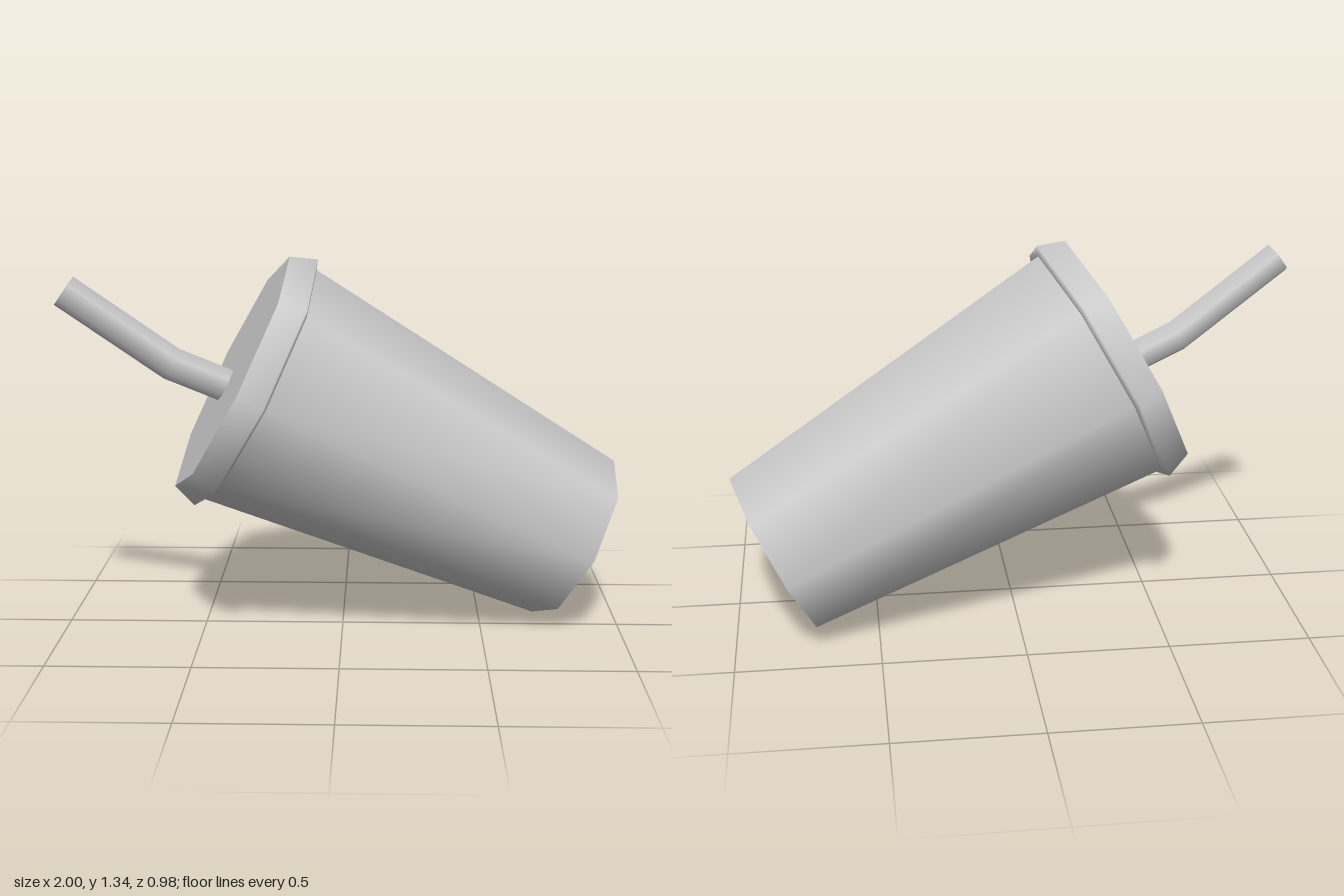
import * as THREE from 'three';

const SIDES = 8;
const LENGTH = 1.41; // base of the cup to top of the lid

export function createModel() {
  const model = new THREE.Group();
  model.name = 'tiltedDrinkCup';
  const material = new THREE.MeshStandardMaterial({ color: 0xcccccc });

  const add = (name, geometry) => {
    const mesh = new THREE.Mesh(geometry, material);
    mesh.name = name;
    model.add(mesh);
    return mesh;
  };
  const lathe = (...profile) =>
    new THREE.LatheGeometry(profile.map(([r, y]) => new THREE.Vector2(r, y)), SIDES);
  const disc = (radius, y, facing) =>
    new THREE.CircleGeometry(radius, SIDES).rotateX(-facing * Math.PI / 2).translate(0, y, 0);

  // Tapered cup with a flat base
  add('cupBody', lathe([0.322, 0], [0.46, 1.305]));
  add('cupBase', disc(0.322, 0, -1));

  // Lid: flared rim and flat top
  add('lidRim', lathe([0.459, 1.303], [0.495, 1.316], [0.46, LENGTH]));
  add('lidTop', disc(0.46, LENGTH, 1));

  // Bent six-sided straw: three rings, each placed and turned to follow the bend
  const rings = [
    { x: -0.05, y: -0.01, turn: 0 },
    { x: -0.065, y: 0.205, turn: -0.035 },
    { x: 0.002, y: 0.653, turn: -0.148 },
  ];
  const straw = new THREE.CylinderGeometry(0.06, 0.06, 2, 6, 2, false, Math.PI / 2);
  const { position, normal } = straw.attributes;
  const axis = new THREE.Vector3(0, 0, 1);
  const v = new THREE.Vector3();
  for (let i = 0; i < position.count; i++) {
    const ring = rings[Math.round(position.getY(i)) + 1];
    v.fromBufferAttribute(position, i).setY(0).applyAxisAngle(axis, ring.turn);
    position.setXYZ(i, v.x + ring.x, v.y + ring.y + LENGTH, v.z);
    v.fromBufferAttribute(normal, i).applyAxisAngle(axis, ring.turn);
    normal.setXYZ(i, v.x, v.y, v.z);
  }
  add('straw', straw);

  // Tip the whole cup over: local y runs along the cup's axis
  const up = new THREE.Vector3(-0.883, 0.454, 0.118).normalize();
  const side = new THREE.Vector3(0.45, 0.891, -0.047);
  side.addScaledVector(up, -side.dot(up)).normalize();
  const across = new THREE.Vector3().crossVectors(side, up);
  model.quaternion.setFromRotationMatrix(new THREE.Matrix4().makeBasis(side, up, across));
  model.position.set(0.85, 0.29, -0.16);

  const root = new THREE.Group();
  root.name = 'drink';
  root.add(model);
  return root;
}
